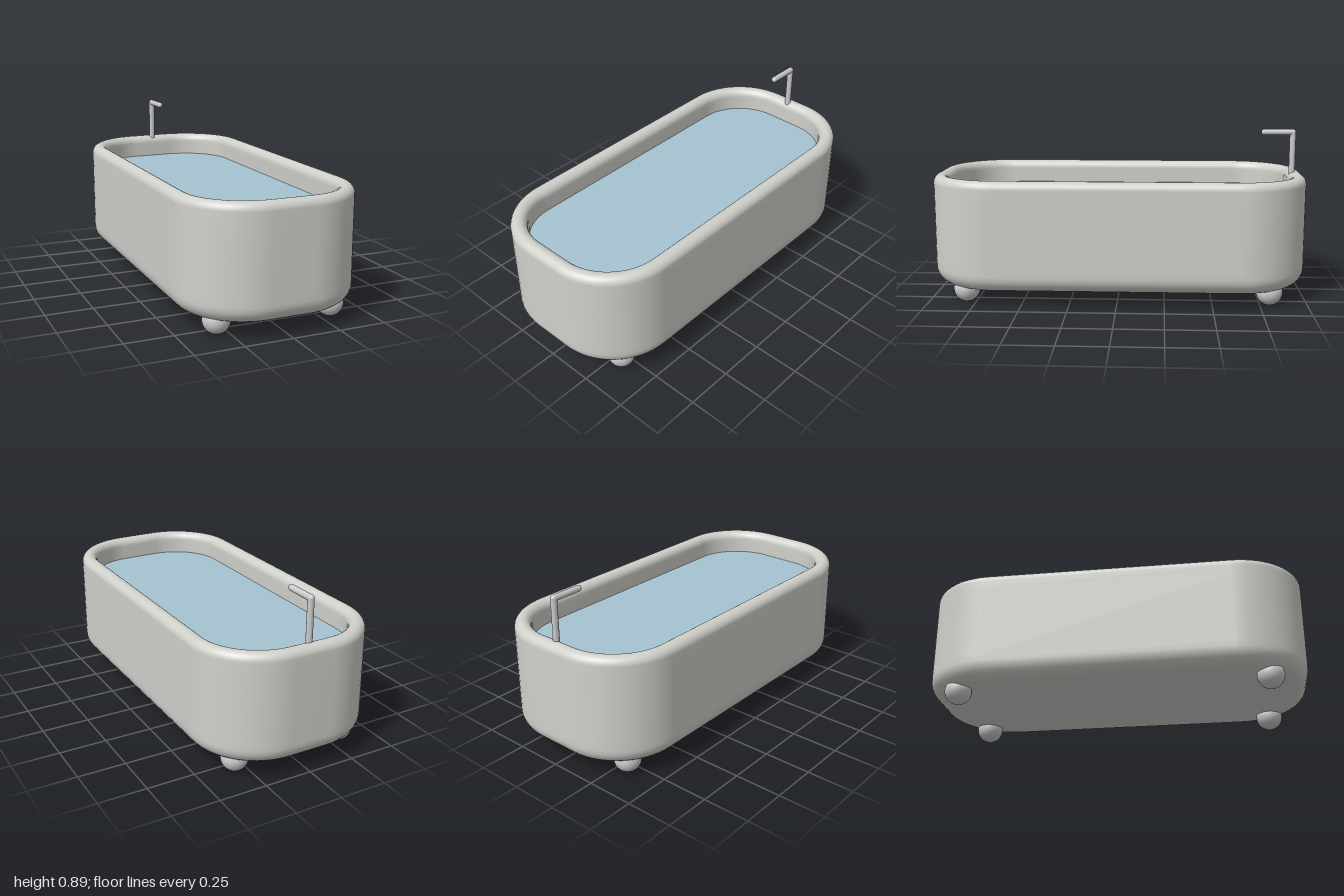
import * as THREE from 'three';

const HALF_W = 0.467, HALF_L = 1, CORNER = 0.36;
const RIM = 0.0425, TOP = 0.665, BOTTOM = 0.08, WATER_Y = 0.54;

// Rounded-rectangle outline as [x, z] points, shrunk by an inset
function outline(inset, steps = 16) {
  const pts = [], r = CORNER - inset;
  [[1, 1], [-1, 1], [-1, -1], [1, -1]].forEach(([sx, sz], q) => {
    for (let i = 0; i <= steps; i++) {
      const a = (q + i / steps) * Math.PI / 2;
      pts.push([sx * (HALF_W - CORNER) + r * Math.cos(a), sz * (HALF_L - CORNER) + r * Math.sin(a)]);
    }
  });
  return pts;
}

// Skin between outlines that follow a profile of [inset, y]
function sweep(profile) {
  const pos = [], index = [], n = outline(0).length;
  for (const [inset, y] of profile) for (const [x, z] of outline(inset)) pos.push(x, y, z);
  for (let k = 0; k < profile.length - 1; k++) {
    for (let j = 0; j < n; j++) {
      const a = k * n + j, b = k * n + (j + 1) % n;
      index.push(a, a + n, b, b, a + n, b + n);
    }
  }
  const g = new THREE.BufferGeometry();
  g.setAttribute('position', new THREE.Float32BufferAttribute(pos, 3));
  g.setIndex(index);
  g.computeVertexNormals();
  return g;
}

// Flat sheet filling an outline, facing up (1) or down (-1)
function sheet(inset, y, facing) {
  const shape = new THREE.Shape(outline(inset).map(([x, z]) => new THREE.Vector2(x, z)));
  return new THREE.ShapeGeometry(shape).rotateX(-facing * Math.PI / 2).translate(0, y, 0);
}

export function createModel() {
  const model = new THREE.Group();
  const enamel = new THREE.MeshStandardMaterial({ color: 0xd0d0cb });
  const metal = new THREE.MeshStandardMaterial({ color: 0xcacaca });
  const waterBlue = new THREE.MeshStandardMaterial({ color: 0xa6c4d2 });
  const add = (name, geometry, material, x = 0, y = 0, z = 0) => {
    const mesh = new THREE.Mesh(geometry, material);
    mesh.name = name;
    mesh.position.set(x, y, z);
    model.add(mesh);
    return mesh;
  };

  // Shell: rounded base edge, straight wall, rolled rim, inner wall
  const base = 0.09, profile = [];
  for (let i = 0; i <= 8; i++) {
    const a = i / 8 * Math.PI / 2;
    profile.push([base - base * Math.sin(a), BOTTOM + base - base * Math.cos(a)]);
  }
  profile.push([0, 0.2], [0, 0.58]);
  for (let i = 0; i <= 14; i++) {
    const a = i / 14 * Math.PI;
    profile.push([RIM - RIM * Math.cos(a), TOP - RIM + RIM * Math.sin(a)]);
  }
  profile.push([RIM * 2, 0.6], [RIM * 2, WATER_Y - 0.02]);
  add('tubShell', sweep(profile), enamel);
  add('tubUnderside', sheet(base, BOTTOM, -1), enamel);

  // Water surface
  add('water', sheet(RIM * 2, WATER_Y, 1), waterBlue);

  // Ball feet
  const ball = new THREE.SphereGeometry(0.07, 28, 18);
  for (const sx of [-1, 1]) {
    for (const sz of [-1, 1]) add('foot', ball, metal, sx * 0.307, 0.07, sz * 0.8);
  }

  // Tap: riser standing on the rim and a spout reaching over the water
  const r = 0.0165;
  add('tapRiser', new THREE.CylinderGeometry(r, r, 0.24, 20), metal, 0, 0.76, -0.94);
  const spout = new THREE.CapsuleGeometry(r, 0.155, 6, 20).rotateX(Math.PI / 2);
  add('tapSpout', spout, metal, 0, 0.8785, -0.863);

  return model;
}
